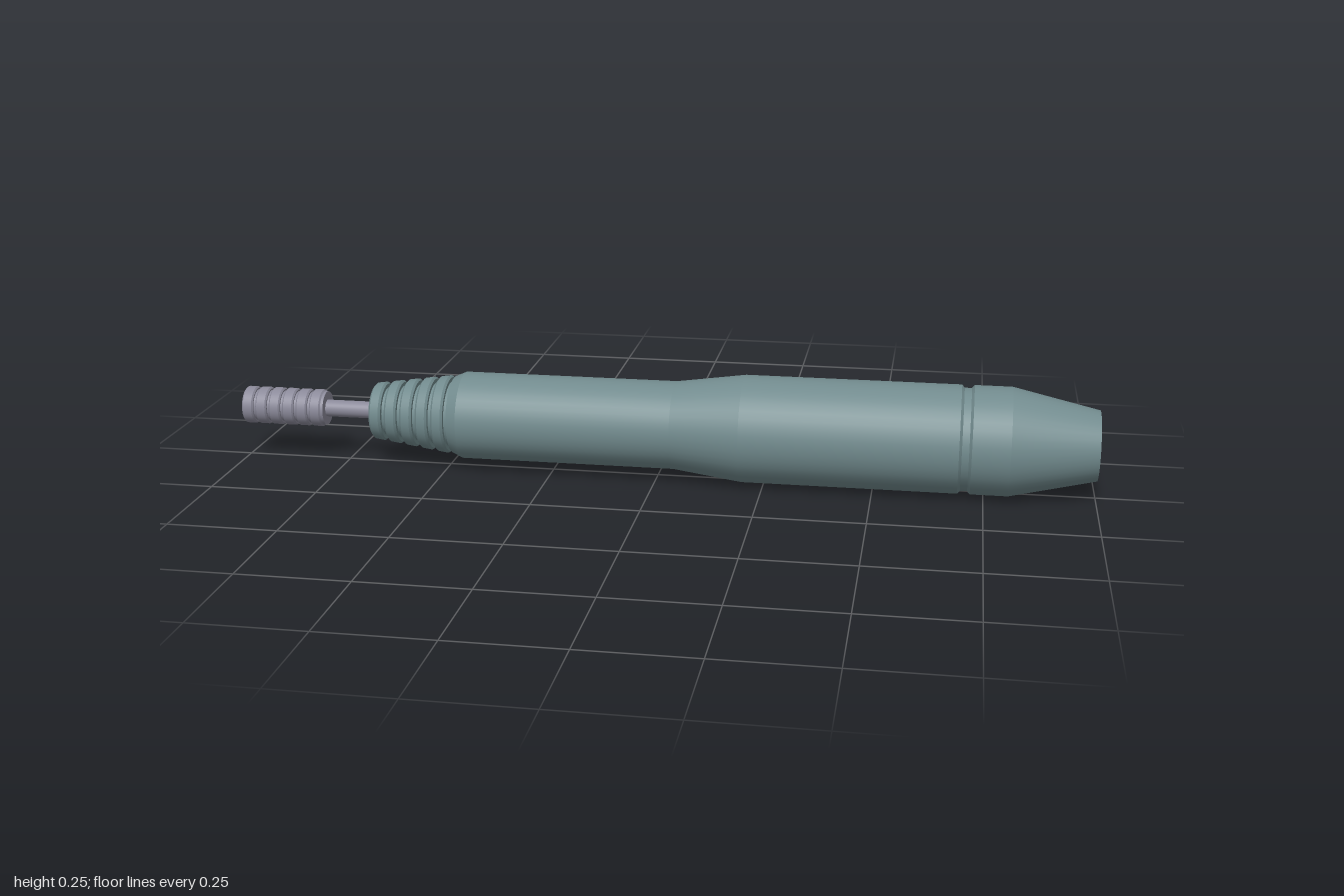
import * as THREE from 'three';

const AXIS_Y = 0.125;

// Turned part along x from [x, radius] points; doubled points keep profile edges sharp
function turned(name, profile, material) {
  const pts = [];
  profile.forEach(([x, r], i) => {
    pts.push(new THREE.Vector2(r, x));
    if (i > 0 && i < profile.length - 1) pts.push(new THREE.Vector2(r, x));
  });
  const geometry = new THREE.LatheGeometry(pts, 40);
  geometry.rotateZ(-Math.PI / 2);
  const mesh = new THREE.Mesh(geometry, material);
  mesh.name = name;
  mesh.position.y = AXIS_Y;
  return mesh;
}

// Row of chamfered ridges separated by grooves, radius running from r0 to r1
function ridges(x0, x1, r0, r1, count, depth, groove) {
  const pts = [];
  const pitch = (x1 - x0) / count;
  const c = Math.min(0.005, depth / 2);
  const radius = (x) => r0 + ((r1 - r0) * (x - x0)) / (x1 - x0);
  for (let i = 0; i < count; i++) {
    const a = x0 + i * pitch;
    const b = a + pitch - groove;
    pts.push([a, radius(a) - c], [a + c, radius(a + c)], [b - c, radius(b - c)], [b, radius(b) - c]);
    pts.push([b, radius(b) - depth], [a + pitch, radius(a + pitch) - depth]);
  }
  return pts;
}

export function createModel() {
  const casing = new THREE.MeshStandardMaterial({ color: 0x728b8e });
  casing.name = 'grey teal casing';
  const metal = new THREE.MeshStandardMaterial({ color: 0x8b8a9a });
  metal.name = 'grey metal';

  const model = new THREE.Group();
  model.name = 'turnedHandle';

  // Handle: ribbed collar, slim grip, wide barrel, seam groove and tapered tail
  model.add(turned('handleBody', [
    [-0.68, 0],
    ...ridges(-0.68, -0.485, 0.066, 0.094, 5, 0.014, 0.009),
    [-0.485, 0.091], [-0.46, 0.102],
    [0.04, 0.102], [0.2, 0.124],
    [0.692, 0.124], [0.698, 0.117], [0.714, 0.117], [0.72, 0.124],
    [0.805, 0.124], [1, 0.08], [1, 0],
  ], casing));

  // Thin shaft joining the knob to the handle
  model.add(turned('shaft', [[-0.81, 0], [-0.81, 0.02], [-0.67, 0.02], [-0.67, 0]], metal));

  // Ridged knob at the end of the shaft
  const knob = ridges(-1, -0.8, 0.044, 0.044, 6, 0.007, 0.006);
  knob.splice(-2, 2, [-0.8, 0.04]);
  model.add(turned('ridgedKnob', [[-1, 0], ...knob, [-0.8, 0]], metal));

  return model;
}
